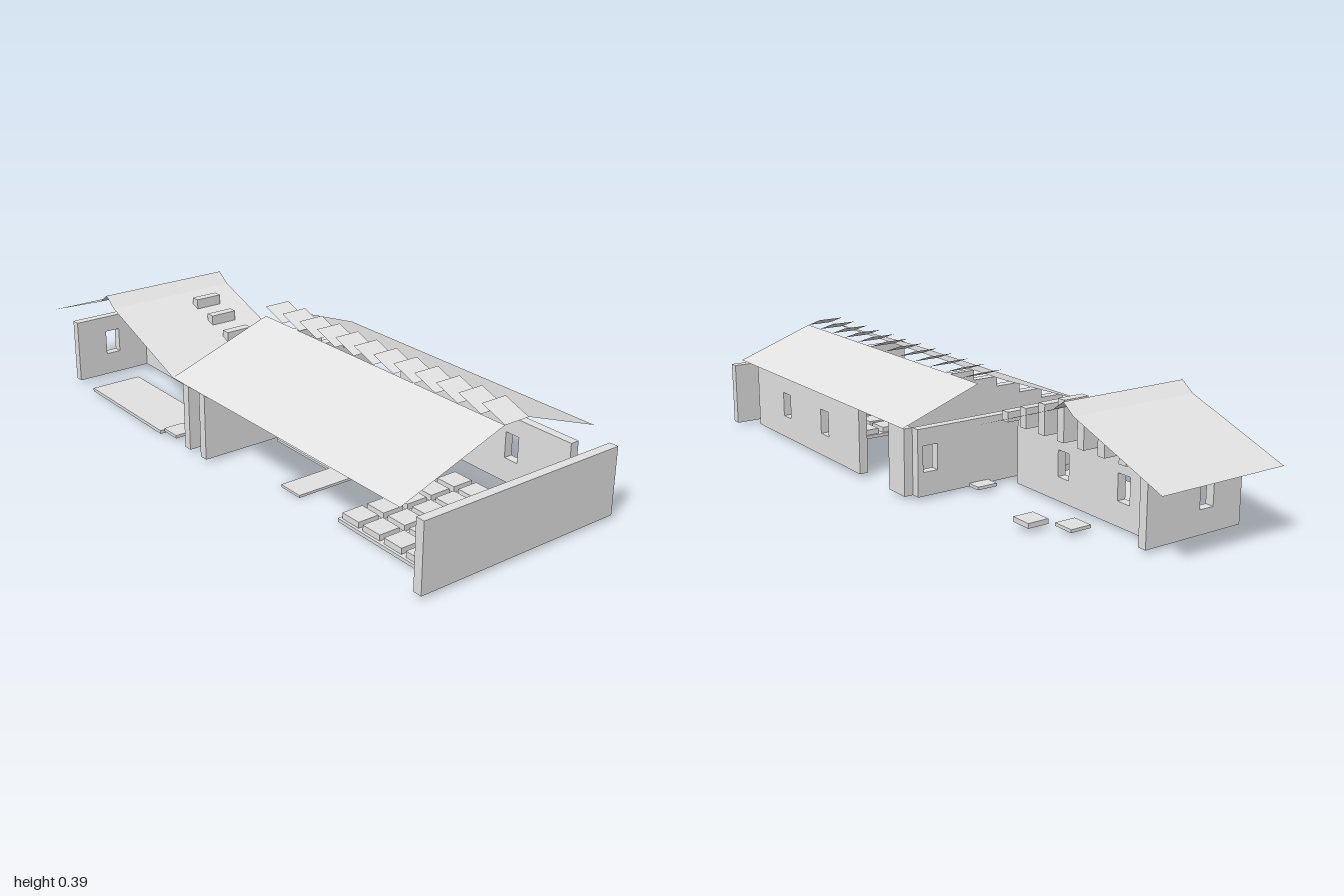
import * as THREE from 'three';

const U = 1 / 11;      // plan module
const T = 0.03;        // wall thickness
const F = 0.011;       // floor level
const E = 0.228;       // wall top
const S = 0.0325;      // rise per module

export function createModel() {
  const root = new THREE.Group();
  const grey = new THREE.MeshStandardMaterial({ color: 0xe2e2e2, side: THREE.DoubleSide });
  grey.name = 'paleGrey';

  const add = (name, geometry) => {
    const mesh = new THREE.Mesh(geometry, grey);
    mesh.name = name;
    root.add(mesh);
    return mesh;
  };
  // box between two corners
  const box = (name, x0, x1, y0, y1, z0, z1) => add(name,
    new THREE.BoxGeometry(x1 - x0, y1 - y0, z1 - z0)
      .translate((x0 + x1) / 2, (y0 + y1) / 2, (z0 + z1) / 2));
  // thin sheet from four corners, seen from above in anticlockwise order
  const sheet = (name, a, b, c, d) => {
    const g = new THREE.BufferGeometry();
    g.setAttribute('position', new THREE.Float32BufferAttribute([a, b, c, a, c, d].flat(), 3));
    g.computeVertexNormals();
    return add(name, g);
  };
  // wall panel of given length with window centres measured along it
  const panel = (name, length, windows) => {
    const s = new THREE.Shape([[0, F], [length, F], [length, E], [0, E]].map(p => new THREE.Vector2(...p)));
    for (const w of windows) {
      s.holes.push(new THREE.Path([[w - 0.026, 0.088], [w - 0.026, 0.173], [w + 0.026, 0.173], [w + 0.026, 0.088]]
        .map(p => new THREE.Vector2(...p))));
    }
    return add(name, new THREE.ExtrudeGeometry(s, { depth: T, bevelEnabled: false }));
  };
  // wall along x, thickness towards the back from z
  const wallX = (name, x0, x1, z, windows = []) =>
    panel(name, x1 - x0, windows.map(w => w - x0)).position.set(x0, 0, z - T);
  // wall along z, inner face at x, thickness towards +x, running back from z0
  const wallZ = (name, x, z0, z1, windows = []) => {
    const m = panel(name, z0 - z1, windows.map(w => z0 - w));
    m.rotation.y = Math.PI / 2;
    m.position.set(x, 0, z0);
  };

  // walls
  wallX('frontScreenWall', -4 * U, 4 * U, 1);
  wallZ('hallSideWall', 3 * U, 10 * U, 2 * U, [7.53 * U, 4.53 * U]);
  wallX('crossWallFront', -4 * U, 3 * U, 0);
  wallX('crossWallBack', -4 * U, 3 * U, -U, [2.5 * U]);
  wallZ('passageEndWall', 3 * U, 0, -U);
  wallZ('wingSideWall', -U, -2 * U, -9 * U, [-4.53 * U, -7.53 * U]);
  wallX('wingBackWall', -4 * U, 0, -9 * U, [-2.5 * U]);

  // stepped gable on the cross wall, with a set-back ridge block
  [1, 2, 3, 3, 2, 1].forEach((n, i) =>
    box('gableStep', (i - 3) * U, (i - 2) * U, E, E + n * S, -T, 0));
  box('ridgeBlock', 0, U, E + 3 * S, E + 4 * S, -T, -T / 3);

  // stepped roof bearers on the wing side wall
  [1, 2, 3, 4, 3, 2, 1].forEach((n, i) => {
    const z = -(i + 2) * U;
    box('roofBearer', -U, 0, E, E + n * S, z - T, z);
  });

  // hall roof
  const zf = 10 * U, zb = -2 * U, top = E + 4 * S;
  sheet('hallRoofLongSlope', [-4 * U, E, zf], [0, top, zf], [0, top, zb], [-4 * U, E, zb]);
  sheet('hallRoofShortSlope', [U, top, zf], [4 * U, top - 3 * S, zf], [4 * U, top - 3 * S, zb], [U, top, zb]);
  for (let i = 0; i < 12; i++) {
    const z = zf - i * U;
    sheet('ridgeLouvre', [0, top, z], [U, top, z], [U, top + S, z - U], [0, top + S, z - U]);
  }

  // wing roof with steeper ridge cap
  const profile = [[-2, E], [-6, top], [-6.5, top + S], [-7, top], [-11, E]];
  for (let i = 0; i < 4; i++) {
    const [z0, y0] = profile[i], [z1, y1] = profile[i + 1];
    sheet(i % 3 ? 'wingRidgeCap' : 'wingRoofSlope',
      [-4 * U, y0, z0 * U], [U, y0, z0 * U], [U, y1, z1 * U], [-4 * U, y1, z1 * U]);
  }

  // floor slabs
  box('frontFloorSlab', -3 * U, 2 * U, 0, F, 6 * U, 10 * U);
  box('middleFloorSlab', -3 * U, 0, 0, 0.008, 3 * U, 4 * U);
  box('middleFloorLeg', -U, 0, 0, 0.008, 0, 3 * U);
  box('wingFloorSlab', -4 * U, -2 * U, 0, F, -8 * U, -3 * U);

  // paving stones, by cell centre in modules
  const stone = (x, z, y0 = F, y1 = 0.021) =>
    box('pavingStone', (x - 0.4) * U, (x + 0.4) * U, y0, y1, (z - 0.4) * U, (z + 0.4) * U);
  for (let i = 0; i < 5; i++) {
    for (let j = 0; j < 4; j++) stone(i - 2.5, j + 6.5, F, 0.03);
  }
  stone(-3.5, -2.5);
  stone(-2.5, -2.5);
  stone(0.5, 1.5, 0, 0.008);
  stone(0.5, -1.45);
  stone(0.5, -6.5);
  stone(1.46, -5.55, 0.016, 0.032);

  return root;
}
